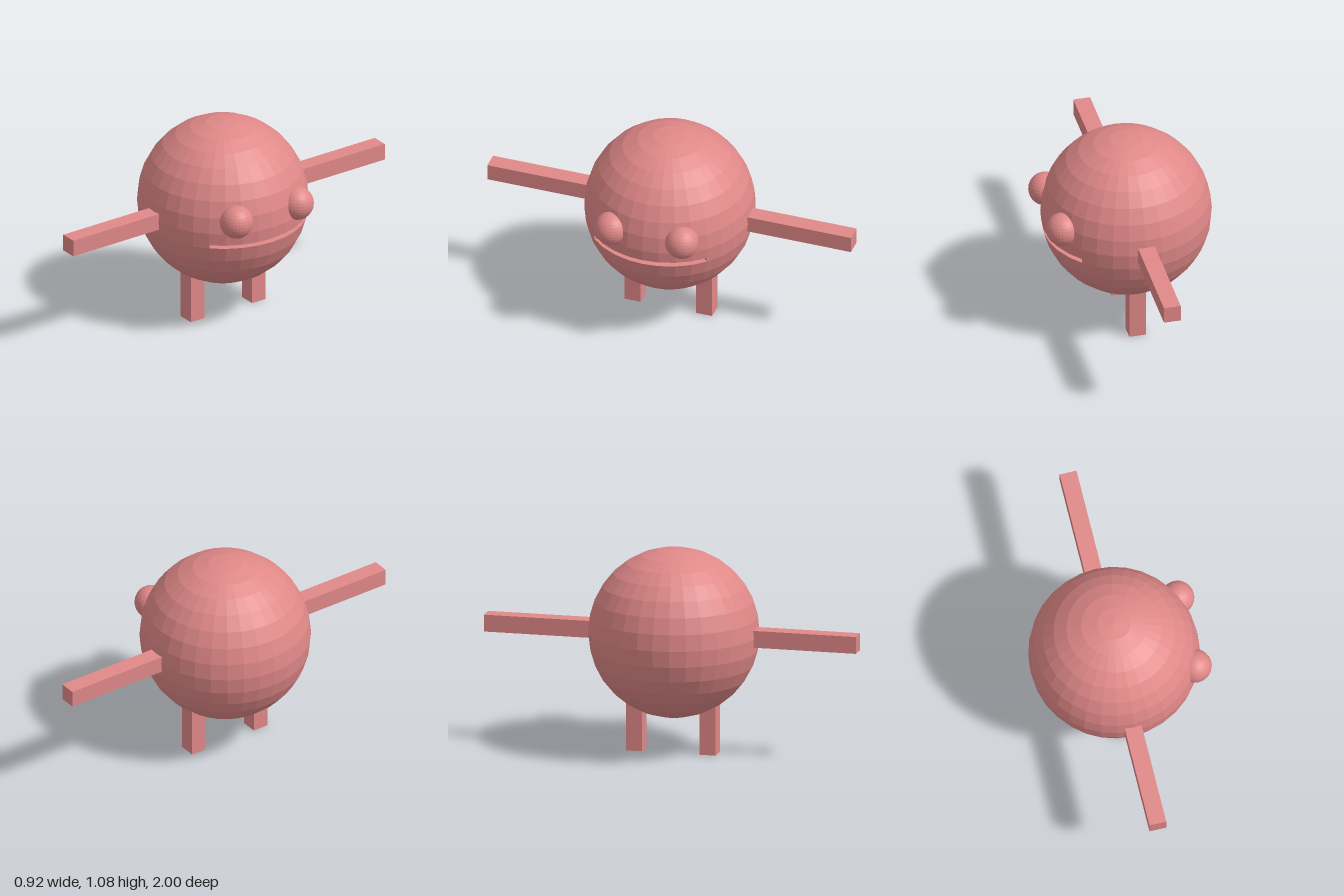
import * as THREE from 'three';

export function createModel() {
  const model = new THREE.Group();
  const pink = new THREE.MeshStandardMaterial({ color: 0xe08888, flatShading: true });
  pink.name = 'pink';

  const add = (parent, name, geometry, x = 0, y = 0, z = 0) => {
    const mesh = new THREE.Mesh(geometry, pink);
    mesh.name = name;
    mesh.position.set(x, y, z);
    parent.add(mesh);
    return mesh;
  };

  // Body: faceted ball of 16 rings and 32 segments, split at the mouth slot
  const R = 0.447, SEG = 32, INNER = 0.402;
  const body = new THREE.Group();
  body.name = 'body';
  body.position.set(-0.012, 0.636, 0.01);
  model.add(body);

  const ring = k => {
    const a = (k * Math.PI) / 16;
    return new THREE.Vector2(k % 16 ? R * Math.sin(a) : 0, R * Math.cos(a));
  };
  const lower = [], upper = [];
  for (let k = 16; k >= 9; k--) lower.push(ring(k));
  const lipLow = ring(9);
  const lipHigh = ring(9).lerp(ring(8), 0.29);
  upper.push(lipHigh);
  for (let k = 8; k >= 0; k--) upper.push(ring(k));

  add(body, 'lowerBody', new THREE.LatheGeometry(lower, SEG));
  add(body, 'upperBody', new THREE.LatheGeometry(upper, SEG));

  // Band behind the mouth, then the recessed quarter facing +x
  const start = Math.PI / 4, end = 3 * start;
  add(body, 'bodyBand', new THREE.LatheGeometry([lipLow, lipHigh], 24, end, Math.PI * 1.5));
  const slot = [
    lipLow,
    new THREE.Vector2(INNER, lipLow.y),
    new THREE.Vector2(INNER, lipHigh.y),
    lipHigh,
  ];
  add(body, 'mouth', new THREE.LatheGeometry(slot, 8, start, Math.PI / 2));

  // End walls of the mouth
  const depth = lipLow.x - INNER, mid = (lipLow.x + INNER) / 2;
  for (const [phi, turn] of [[start, Math.PI / 2], [end, -Math.PI / 2]]) {
    const wall = add(body, 'mouthEnd', new THREE.PlaneGeometry(depth, lipHigh.y - lipLow.y),
      mid * Math.sin(phi), (lipLow.y + lipHigh.y) / 2, mid * Math.cos(phi));
    wall.rotation.y = phi + turn;
  }

  // Eyes
  for (const z of [0.202, -0.187]) {
    add(model, 'eye', new THREE.SphereGeometry(0.088, 32, 16), 0.375, 0.7, z);
  }

  // Square arms and legs, sunk slightly into the body
  for (const side of [1, -1]) {
    add(model, 'arm', new THREE.BoxGeometry(0.09, 0.09, 0.59), -0.015, 0.635, side * 0.705);
    add(model, 'leg', new THREE.BoxGeometry(0.09, 0.28, 0.087), -0.015, 0.14, side * 0.197 + 0.005);
  }
  return model;
}
